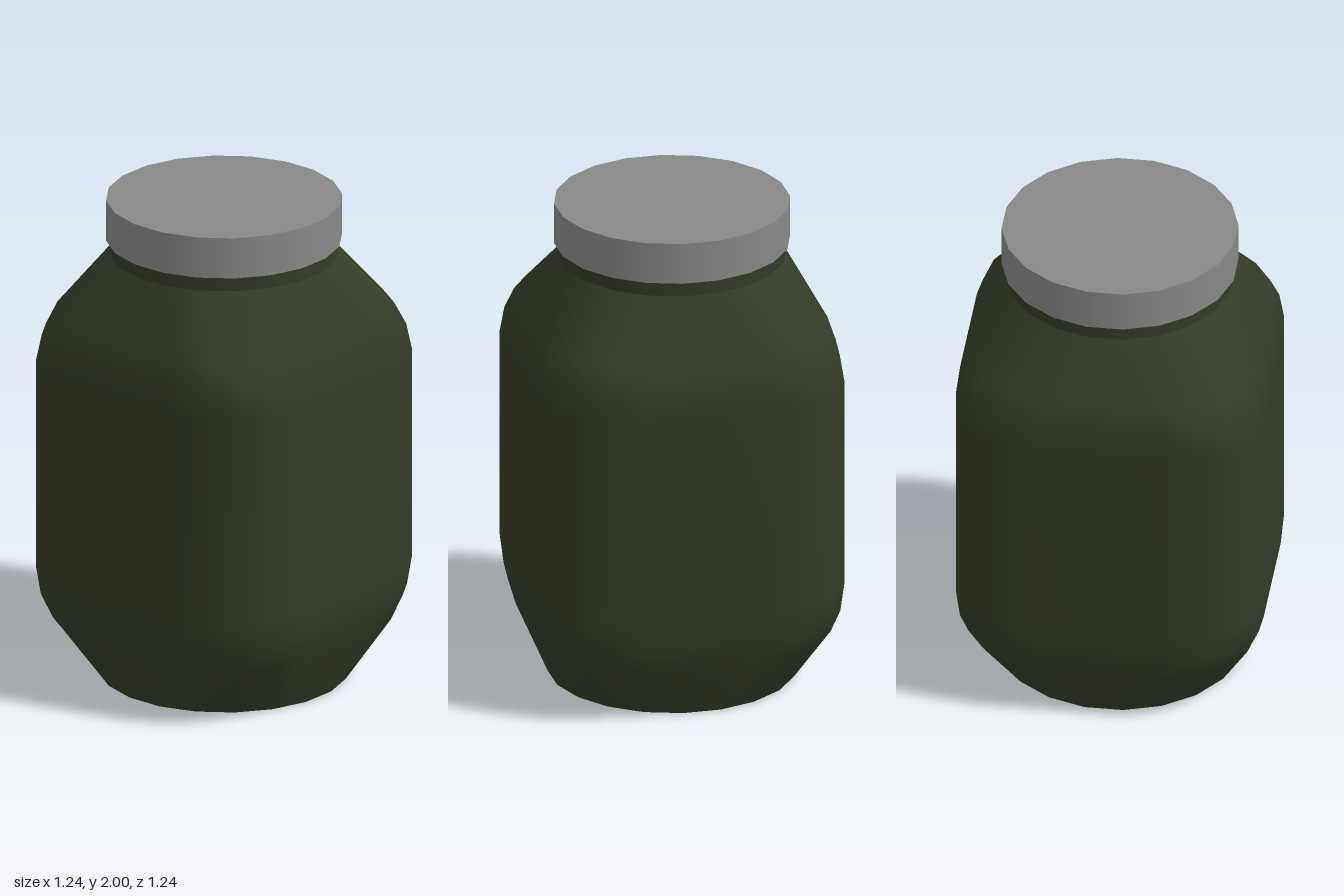
import * as THREE from 'three';

const SIDES = 20;

// One quarter of the rounded-square belly outline as [x, z], one point per 18 degrees.
const QUARTER = [[0.62, 0.27], [0.6, 0.42], [0.53, 0.53], [0.42, 0.6], [0.27, 0.62]];

function squareRing() {
  const ring = [];
  for (let q = 0; q < 4; q++) {
    for (const [x, z] of QUARTER) {
      ring.push([[x, z], [-z, x], [-x, -z], [z, -x]][q]);
    }
  }
  return ring;
}

function roundRing(radius) {
  return Array.from({ length: SIDES }, (_, i) => {
    const a = ((i + 0.5) / SIDES) * Math.PI * 2;
    return [radius * Math.cos(a), radius * Math.sin(a)];
  });
}

// Blend between two outlines.
const mix = (a, b, t) => a.map(([x, z], i) => [x + (b[i][0] - x) * t, z + (b[i][1] - z) * t]);

// Smooth wall through a stack of { y, ring } outlines.
function loft(levels) {
  const pos = [], index = [];
  for (const { y, ring } of levels) for (const [x, z] of ring) pos.push(x, y, z);
  for (let j = 0; j < levels.length - 1; j++) {
    for (let i = 0; i < SIDES; i++) {
      const k = (i + 1) % SIDES;
      const a = j * SIDES + i, b = j * SIDES + k;
      const c = a + SIDES, d = b + SIDES;
      index.push(a, c, b, b, c, d);
    }
  }
  const geo = new THREE.BufferGeometry();
  geo.setAttribute('position', new THREE.Float32BufferAttribute(pos, 3));
  geo.setIndex(index);
  geo.computeVertexNormals();
  return geo;
}

export function createModel() {
  const green = new THREE.MeshStandardMaterial({ color: 0x333b27 });
  green.name = 'dark green glass';
  const grey = new THREE.MeshStandardMaterial({ color: 0x888886 });
  grey.name = 'grey metal';

  const model = new THREE.Group();
  model.name = 'jar';
  const add = (name, geo, mat, y = 0) => {
    const mesh = new THREE.Mesh(geo, mat);
    mesh.name = name;
    mesh.position.y = y;
    model.add(mesh);
    return mesh;
  };

  // Body: round foot, rounded-square belly, round shoulder
  const belly = squareRing(), foot = roundRing(0.496), collar = roundRing(0.455);
  add('body', loft([
    { y: 0, ring: foot },
    { y: 0.24, ring: mix(foot, belly, 0.73) },
    { y: 0.34, ring: mix(foot, belly, 0.92) },
    { y: 0.46, ring: belly },
    { y: 1.33, ring: belly },
    { y: 1.44, ring: mix(belly, collar, 0.08) },
    { y: 1.53, ring: mix(belly, collar, 0.24) },
    { y: 1.77, ring: collar },
  ]), green);

  // Flat underside
  const base = new THREE.CircleGeometry(0.496, SIDES, Math.PI / SIDES);
  base.rotateX(Math.PI / 2);
  add('base', base, green);

  // Short neck under the lid
  const neck = new THREE.CylinderGeometry(0.455, 0.455, 0.07, SIDES, 1, true, Math.PI / SIDES);
  add('neck', neck, green, 1.805);

  // Lid
  const lid = new THREE.CylinderGeometry(0.47, 0.47, 0.17, SIDES, 1, false, Math.PI / SIDES);
  add('lid', lid, grey, 1.915);

  return model;
}
